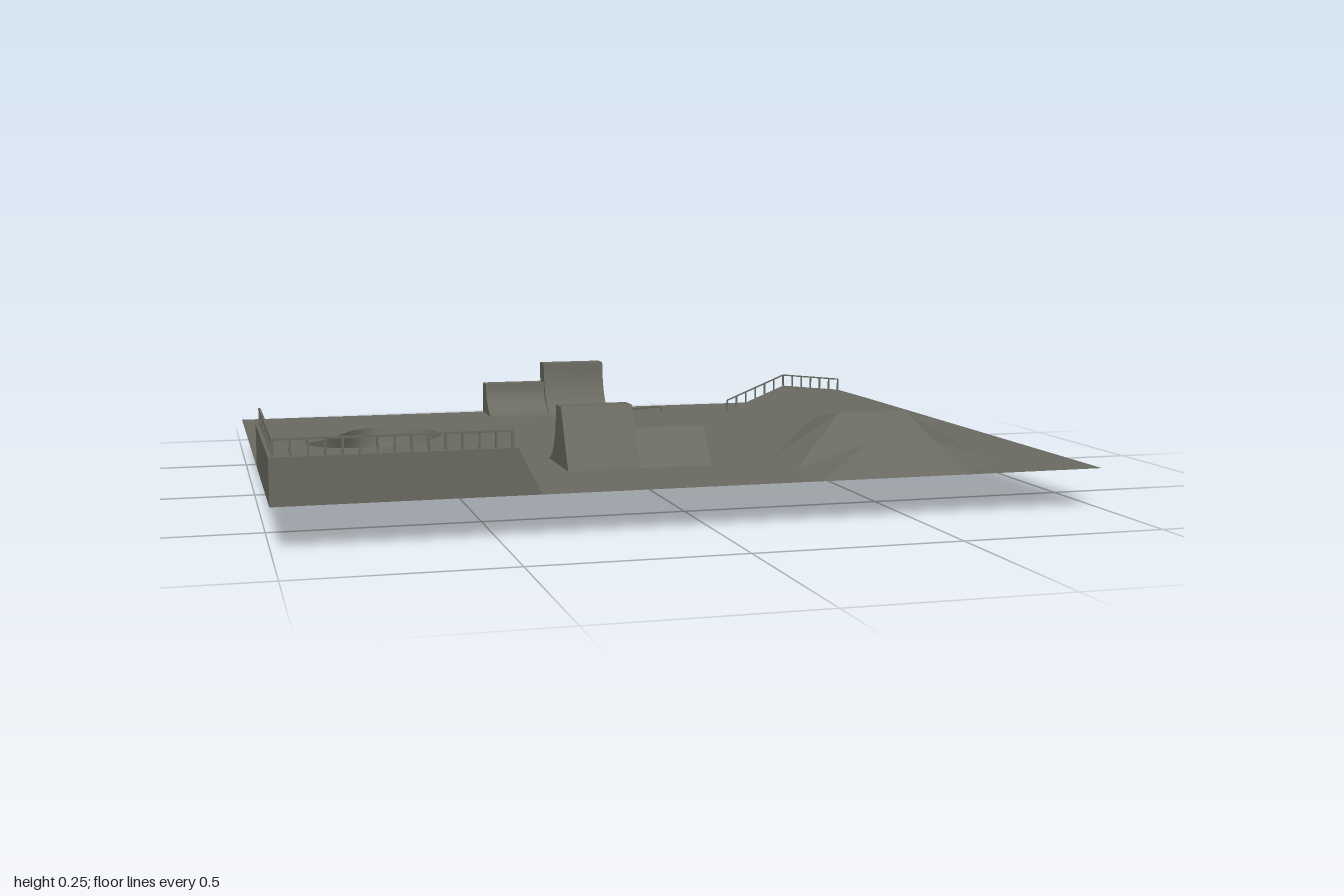
import * as THREE from 'three';
import { toCreasedNormals } from 'three/addons/utils/BufferGeometryUtils.js';

const G = 0.1;            // ground level
const D = 0.727;          // half depth
const C = 2 / 11;         // terrain cell
const concrete = new THREE.MeshStandardMaterial({ color: 0x6b6b62, side: THREE.DoubleSide });

function mesh(name, geometry) {
  const m = new THREE.Mesh(geometry, concrete);
  m.name = name;
  return m;
}

// Surface through rows of [x, y, z]; flip(i, j) picks the other diagonal of a cell
function loft(rows, crease = 0.6, flip = () => false) {
  const n = rows[0].length, index = [];
  for (let i = 0; i < rows.length - 1; i++) {
    for (let j = 0; j < n - 1; j++) {
      const a = i * n + j, b = a + 1, c = a + n, d = c + 1;
      if (flip(i, j)) index.push(a, b, d, a, d, c);
      else index.push(a, b, c, b, d, c);
    }
  }
  const g = new THREE.BufferGeometry();
  g.setAttribute('position', new THREE.Float32BufferAttribute(rows.flat(2), 3));
  g.setIndex(index);
  g.computeVertexNormals();
  return toCreasedNormals(g, crease);
}

const shapeOf = pts => new THREE.Shape(pts.map(p => new THREE.Vector2(p[0], p[1])));

// Concave transition from the foot up to the lip, as [u, y]
function transition(foot, lip, height, steps = 8) {
  return Array.from({ length: steps + 1 }, (_, i) => {
    const t = (i / steps) * Math.PI / 2;
    return [foot + (lip - foot) * Math.sin(t), G + height * (1 - Math.cos(t))];
  });
}

// Ramp open at the bottom: profile [z, y] swept along x, with both sides closed
function ramp(name, profile, x0, x1) {
  const group = new THREE.Group();
  group.name = name;
  group.add(mesh(name + 'Surface', loft([x0, x1].map(x => profile.map(([z, y]) => [x, y, z])))));
  for (const x of [x0, x1]) {
    const side = mesh(name + 'Side', new THREE.ShapeGeometry(shapeOf(profile)).rotateY(-Math.PI / 2));
    side.position.x = x;
    group.add(side);
  }
  return group;
}

// Square bar between two points
function bar(name, a, b, t) {
  const p = new THREE.Vector3(...a), q = new THREE.Vector3(...b);
  const m = mesh(name, new THREE.BoxGeometry(t, t, p.distanceTo(q)));
  m.position.copy(p).add(q).multiplyScalar(0.5);
  m.lookAt(q);
  return m;
}

// Top rail with evenly spaced posts
function fence(name, a, b, posts, h, t = 0.005) {
  const group = new THREE.Group();
  group.name = name;
  const up = p => [p[0], p[1] + h - t / 2, p[2]];
  group.add(bar('topRail', up(a), up(b), t));
  for (let i = 0; i < posts; i++) {
    const p = a.map((v, k) => v + (b[k] - v) * i / (posts - 1));
    group.add(bar('post', p, up(p), t));
  }
  return group;
}

export function createModel() {
  const park = new THREE.Group();
  park.name = 'skatePark';
  const edge = -1 + 7 * C;  // where the flat slab meets the banks

  // Pool outline as a closed bean
  const bean = new THREE.CatmullRomCurve3([
    [-0.63, -0.463], [-0.55, -0.44], [-0.485, -0.36], [-0.475, -0.27], [-0.52, -0.17], [-0.585, -0.08],
    [-0.64, 0.02], [-0.70, 0.075], [-0.77, 0.09], [-0.85, 0.055], [-0.91, -0.02], [-0.91, -0.10],
    [-0.87, -0.18], [-0.79, -0.26], [-0.735, -0.36], [-0.69, -0.43],
  ].map(([x, z]) => new THREE.Vector3(x, 0, z)), true).getPoints(36);

  // Flat slab, cut away under the corner deck, the centre box and the pool
  const slab = shapeOf([[-1, -D], [edge, -D], [edge, D], [-0.455, D], [-0.455, 0.635],
    [-0.91, 0.635], [-0.91, 0.18], [-1, 0.18]]);
  slab.holes.push(
    new THREE.Path(bean.slice(0, -1).map(p => new THREE.Vector2(p.x, p.z))),
    new THREE.Path([[-0.275, 0.21], [0.09, 0.21], [0.09, 0.435], [-0.275, 0.435]].map(p => new THREE.Vector2(...p))),
  );
  const slabGeometry = new THREE.ShapeGeometry(slab).rotateX(Math.PI / 2);
  // Reverse the faces so that they look up
  const idx = slabGeometry.index.array;
  for (let i = 0; i < idx.length; i += 3) [idx[i], idx[i + 1]] = [idx[i + 1], idx[i]];
  slabGeometry.computeVertexNormals();
  const slabMesh = mesh('groundSlab', slabGeometry);
  slabMesh.position.y = G;
  park.add(slabMesh);

  // Pool bowl: the bean shrinking towards the floor
  const bowl = [[1, 0.1], [0.97, 0.07], [0.93, 0.045], [0.87, 0.022], [0.78, 0.007], [0.62, 0], [0, 0]];
  park.add(mesh('poolBowl', loft(bowl.map(([s, y]) =>
    bean.map(p => [-0.69 + (p.x + 0.69) * s, y, -0.19 + (p.z + 0.19) * s])), 0.7)));

  // Banked terrain: rises above the ground at three inner grid columns
  const rises = [[0, 0, 0], [0, 0.073, 0.055], [0, 0.073, 0.055], [0.073, 0.073, 0.042],
    [0.073, 0.073, 0], [0.073, 0.073, 0], [0.11, 0.11, 0], [0.055, 0.055, 0], [0, 0, 0]];
  const terrain = rises.map((r, j) => [0, ...r, 0].map((h, i) =>
    [edge + i * C, G + h, j === 2 && i === 1 ? -0.275 : -D + j * C]));
  park.add(mesh('bankedTerrain', loft(terrain, 0.01, (j, i) => j === 2 && i === 1)));

  // Centre box and back quarter pipe, each in a high and a low half
  const mid = -0.095;
  const halves = [[-0.275, mid], [mid, 0.09]];
  halves.forEach(([x0, x1], i) => {
    const hBox = i ? 0.09 : 0.148, hBack = i ? 0.148 : 0.09;
    park.add(ramp('centreBox', [...transition(0.21, 0.305, hBox), [0.36, G + hBox], [0.435, G]], x0, x1));
    park.add(ramp('backQuarterPipe', [...transition(-0.58, -0.675, hBack), [-D, G + hBack], [-D, G]], x0, x1));
  });

  // Corner quarter pipe: stations of outer wall, lip and foot around the bend
  const H = 0.108, cx = -0.80, cz = 0.525;
  const stations = [{ o: [-1, 0.18], c: [cx, 0.18], n: [-1, 0] }];
  for (let i = 0; i <= 6; i++) {
    const t = (i / 6) * Math.PI / 2;
    const o = i === 0 ? [-1, cz] : i === 6 ? [cx, D] : [-1, D];
    stations.push({ o, c: [cx, cz], n: [-Math.cos(t), Math.sin(t)] });
  }
  stations.push({ o: [-0.455, D], c: [-0.455, cz], n: [0, 1] });
  const section = ({ o, c, n }) => [
    [o[0], G, o[1]], [o[0], G + H, o[1]],
    ...transition(0.035, 0.11, H).reverse().map(([r, y]) => [c[0] + n[0] * r, y, c[1] + n[1] * r]),
  ];
  const corner = new THREE.Group();
  corner.name = 'cornerQuarterPipe';
  corner.add(mesh('cornerDeck', loft(stations.map(section))));
  const capProfile = section(stations[0]).map(p => [p[0], p[1]]);
  const cap = mesh('cornerEndCap', new THREE.ShapeGeometry(shapeOf(capProfile)));
  cap.position.z = 0.18;
  const cap2 = mesh('cornerEndCap', new THREE.ShapeGeometry(shapeOf(
    section(stations.at(-1)).map(p => [p[2], p[1]]))).rotateY(-Math.PI / 2));
  cap2.position.x = -0.455;
  corner.add(cap, cap2);
  // Steep wedge leading up to the deck
  const wedge = new THREE.ExtrudeGeometry(shapeOf([[-0.455, G], [-0.40, G], [-0.455, G + H]]),
    { depth: D - 0.635, bevelEnabled: false });
  const wedgeMesh = mesh('accessWedge', wedge);
  wedgeMesh.position.z = 0.635;
  corner.add(wedgeMesh);
  // Safety fences along the outer edges
  corner.add(fence('sideFence', [-0.99, G + H, 0.185], [-0.99, G + H, 0.717], 15, 0.04));
  corner.add(fence('frontFence', [-0.99, G + H, 0.717], [-0.465, G + H, 0.717], 15, 0.04));
  park.add(corner);

  // Handrail following the bank up and over
  const z = -D + C;
  park.add(fence('bankRailLower', [edge + C, G, z], [edge + 2 * C, G + 0.073, z], 7, 0.035, 0.004));
  park.add(fence('bankRailUpper', [edge + 2 * C, G + 0.073, z], [edge + 3 * C, G + 0.055, z], 7, 0.035, 0.004));

  // Low grind rails and pad
  park.add(fence('angledRail', [0.10, G, -0.525], [0.255, G, -0.585], 2, 0.018, 0.005));
  park.add(fence('straightRail', [-0.105, G, -0.33], [-0.105, G, -0.15], 2, 0.018, 0.006));
  const pad = mesh('grindPad', new THREE.BoxGeometry(0.03, 0.015, 0.085));
  pad.position.set(-0.105, G + 0.0075, -0.105);
  park.add(pad);

  return park;
}
